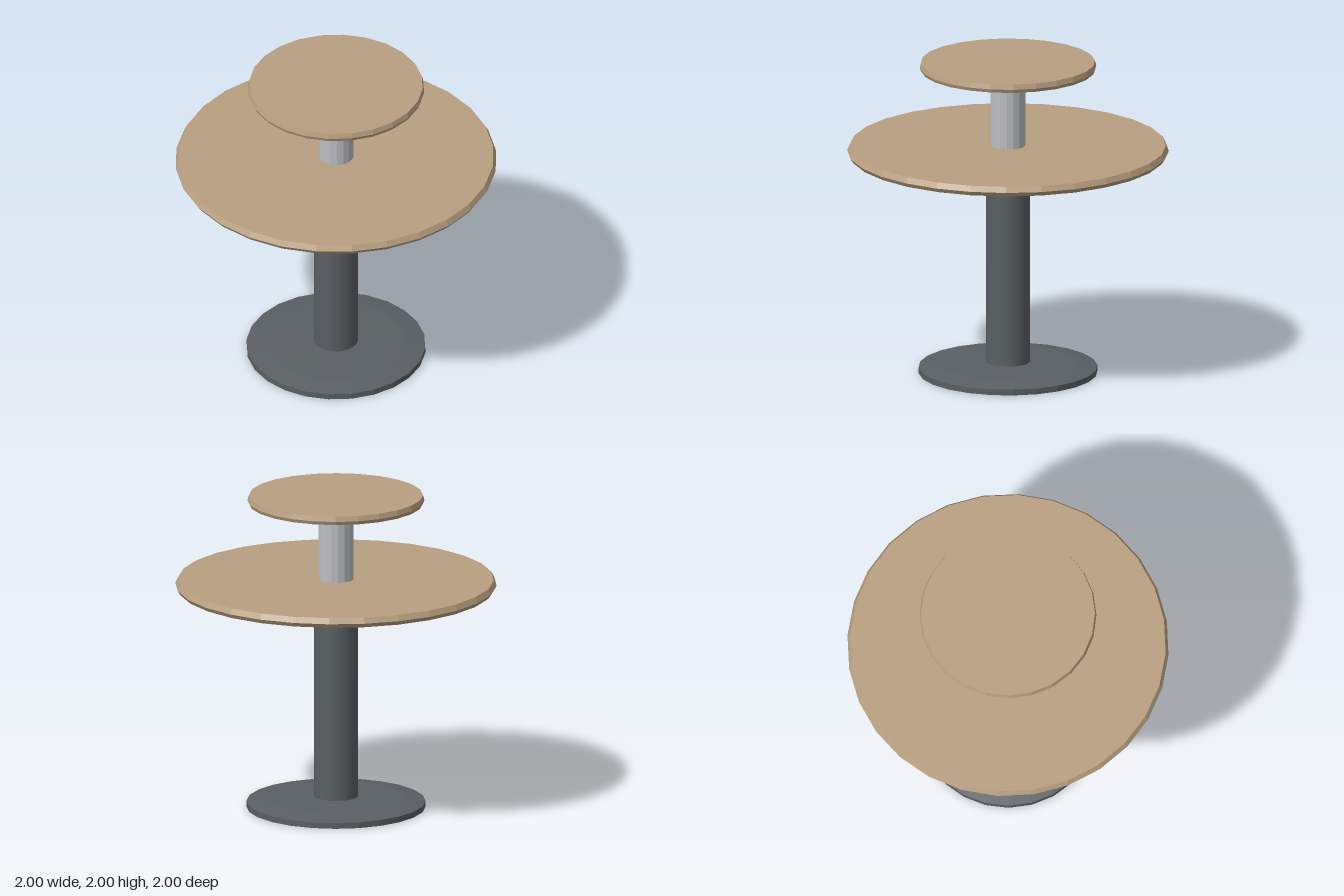
import * as THREE from 'three';

const wood = new THREE.MeshStandardMaterial({ color: 0xb89f80, flatShading: true });
const dark = new THREE.MeshStandardMaterial({ color: 0x5a5f63, flatShading: true });
const darkSmooth = new THREE.MeshStandardMaterial({ color: 0x5a5f63 });
const silver = new THREE.MeshStandardMaterial({ color: 0xbcbec2, flatShading: true });

// Turned part from a profile of [radius, height] points, bottom to top
function turned(name, profile, sides, material) {
  const points = profile.map(([r, y]) => new THREE.Vector2(r, y));
  const mesh = new THREE.Mesh(new THREE.LatheGeometry(points, sides), material);
  mesh.name = name;
  return mesh;
}

// Round top whose rim is bevelled above and below a widest line
function roundTop(name, radius, bevel, bottom, middle, top, sides) {
  const r = radius - bevel;
  return turned(name, [[0, bottom], [r, bottom], [radius, middle], [r, top], [0, top]], sides, wood);
}

function post(name, radius, bottom, top, sides, material) {
  const mesh = new THREE.Mesh(new THREE.CylinderGeometry(radius, radius, top - bottom, sides), material);
  mesh.position.y = (bottom + top) / 2;
  mesh.name = name;
  return mesh;
}

export function createModel() {
  const group = new THREE.Group();
  group.name = 'tieredTable';
  group.add(
    // Flat foot with a gently domed upper side
    turned('base', [[0, 0], [0.557, 0], [0.557, 0.037], [0.43, 0.056], [0.137, 0.07], [0, 0.07]], 24, dark),
    post('lowerPost', 0.137, 0.06, 1.41, 24, darkSmooth),
    roundTop('mainTop', 1, 0.018, 1.4, 1.427, 1.462, 28),
    post('upperPost', 0.11, 1.45, 1.96, 16, silver),
    roundTop('upperTop', 0.55, 0.009, 1.946, 1.968, 2, 24),
  );
  return group;
}
